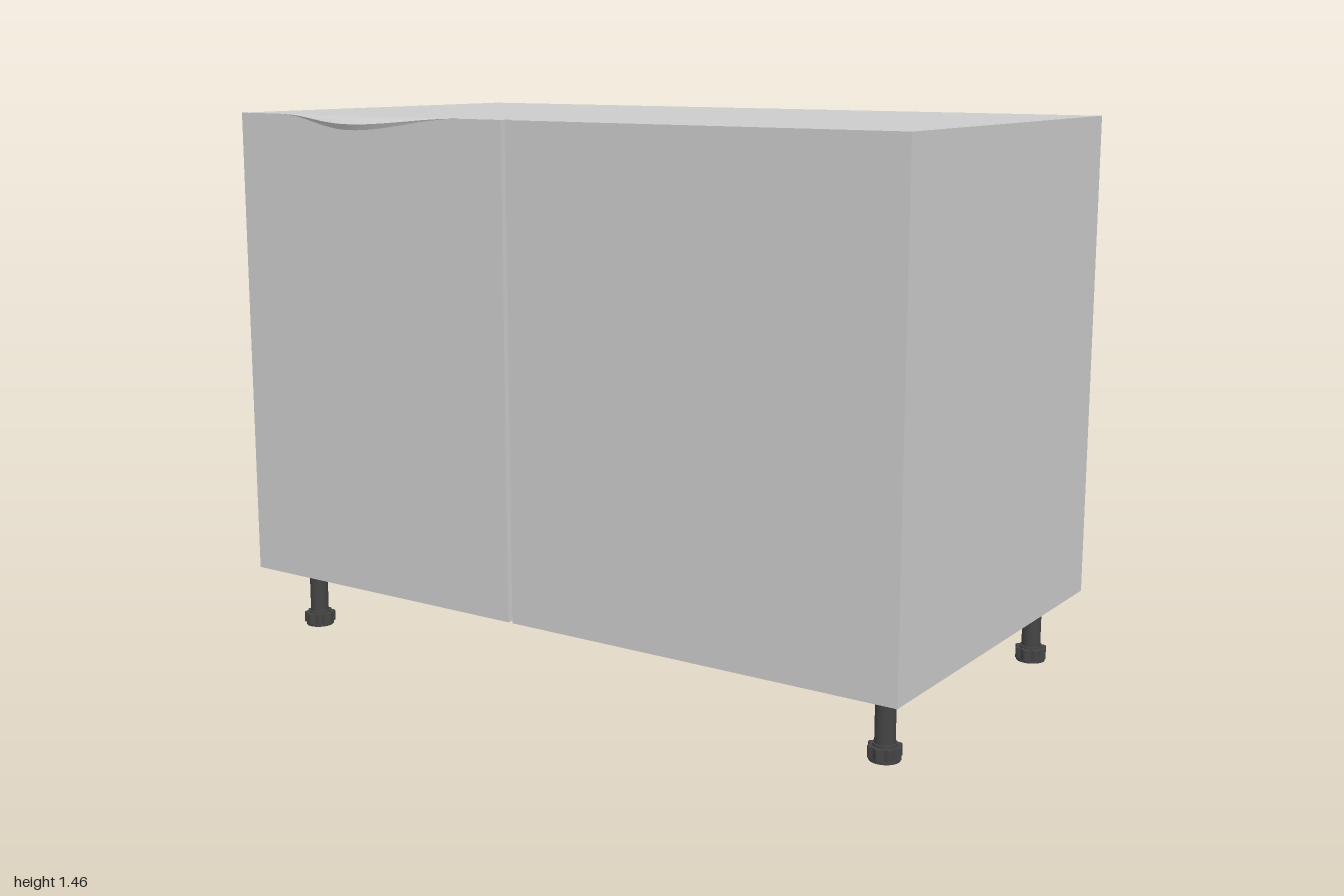
import * as THREE from 'three';

const TOP = 1.457, BOTTOM = 0.187, BACK = -0.573, DOOR_BACK = 0.478, FRONT = 0.515;

const grey = new THREE.MeshStandardMaterial({ color: 0xcccccc });
const greyThin = new THREE.MeshStandardMaterial({ color: 0xcccccc, side: THREE.DoubleSide });
const dark = new THREE.MeshStandardMaterial({ color: 0x444444 });

function add(parent, name, geometry, material) {
  const mesh = new THREE.Mesh(geometry, material);
  mesh.name = name;
  parent.add(mesh);
  return mesh;
}

// Box given by its limits on each axis
function slab(parent, name, x0, x1, y0, y1, z0, z1) {
  const mesh = add(parent, name, new THREE.BoxGeometry(x1 - x0, y1 - y0, z1 - z0), grey);
  mesh.position.set((x0 + x1) / 2, (y0 + y1) / 2, (z0 + z1) / 2);
}

// Curved lip: a hooked cross-section that swells and fades along x
function lipGeometry(centre, halfWidth) {
  const section = [ // [outwards, up]; corners doubled to keep edges sharp
    [0, 0], [0.02, -0.001], [0.036, -0.005], [0.048, -0.011], [0.058, -0.019],
    [0.058, -0.019], [0.051, -0.034],
    [0.051, -0.034], [0.042, -0.024], [0.03, -0.015], [0.016, -0.009], [0, -0.007],
  ];
  const steps = 48, n = section.length, pos = [], index = [];
  for (let i = 0; i <= steps; i++) {
    const t = (i / steps) * 2 - 1;
    const swell = Math.cos((t * Math.PI) / 2) ** 2;
    for (const [out, up] of section) {
      pos.push(centre + t * halfWidth, TOP + up * swell, FRONT + out * swell);
    }
    if (i === steps) continue;
    for (let j = 0; j < n - 1; j++) {
      if (j === 4 || j === 6) continue;
      const a = i * n + j, b = a + n;
      index.push(a, a + 1, b, b, a + 1, b + 1);
    }
  }
  const g = new THREE.BufferGeometry();
  g.setAttribute('position', new THREE.Float32BufferAttribute(pos, 3));
  g.setIndex(index);
  g.computeVertexNormals();
  return g;
}

// Upright cylinder between two heights
function disc(parent, name, rTop, rBottom, y0, y1, sides = 32) {
  const g = new THREE.CylinderGeometry(rTop, rBottom, y1 - y0, sides);
  add(parent, name, g, dark).position.y = (y0 + y1) / 2;
}

function makeLeg() {
  const leg = new THREE.Group();
  leg.name = 'leg';
  disc(leg, 'mountingPlate', 0.052, 0.05, 0.177, BOTTOM);
  disc(leg, 'collar', 0.04, 0.034, 0.15, 0.177);
  disc(leg, 'column', 0.025, 0.025, 0.03, 0.15);
  disc(leg, 'footNeck', 0.03, 0.03, 0.036, 0.042);
  disc(leg, 'footPad', 0.038, 0.038, 0, 0.008);

  // Adjusting foot with a lobed grip
  const outline = [];
  for (let i = 0; i < 64; i++) {
    const a = (i / 64) * Math.PI * 2;
    const r = 0.0395 + 0.0035 * Math.cos(8 * a);
    outline.push(new THREE.Vector2(Math.cos(a) * r, Math.sin(a) * r));
  }
  const grip = new THREE.ExtrudeGeometry(new THREE.Shape(outline), { depth: 0.028, bevelEnabled: false });
  grip.rotateX(-Math.PI / 2).translate(0, 0.008, 0);
  add(leg, 'footGrip', grip, dark);
  return leg;
}

export function createModel() {
  const cabinet = new THREE.Group();
  cabinet.name = 'cabinet';

  // Carcass with two front panels and a narrow gap between them
  slab(cabinet, 'carcass', -1, 1, BOTTOM, TOP, BACK, DOOR_BACK);
  slab(cabinet, 'door', -1, -0.104, BOTTOM, TOP, DOOR_BACK, FRONT);
  slab(cabinet, 'fixedFrontPanel', -0.091, 1, BOTTOM, TOP, DOOR_BACK, FRONT);
  add(cabinet, 'handleLip', lipGeometry(-0.55, 0.32), greyThin);

  // Four adjustable legs
  for (const x of [-0.915, 0.9]) {
    for (const z of [0.373, -0.482]) {
      const leg = makeLeg();
      leg.position.set(x, 0, z);
      cabinet.add(leg);
    }
  }
  return cabinet;
}
